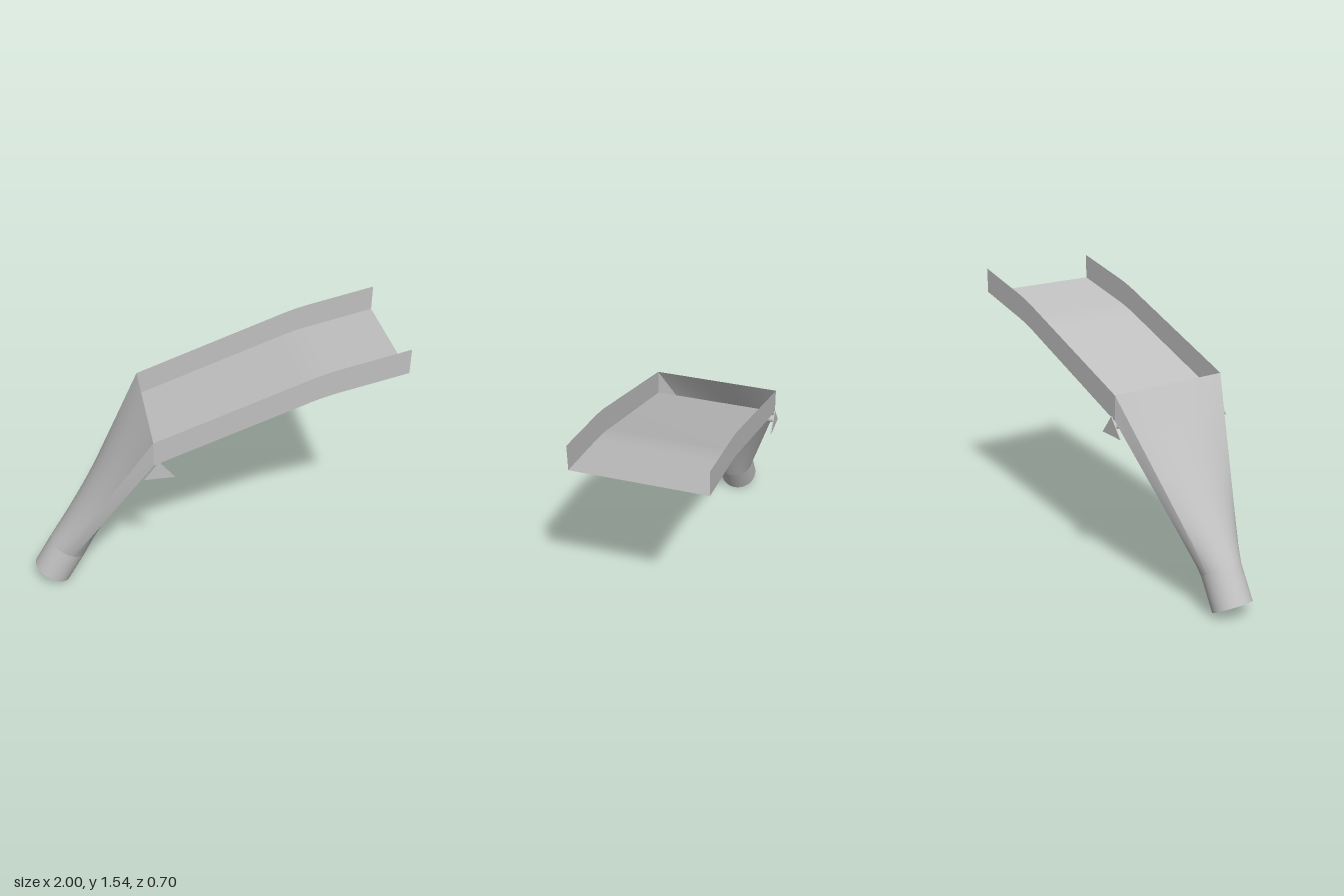
import * as THREE from 'three';
import { toCreasedNormals } from 'three/addons/utils/BufferGeometryUtils.js';

const HALF = 0.343;      // half width of the chute
const WALL = 0.14;       // height of the side walls
const MOUTH_X = -0.335;  // where the chute meets the funnel
const MOUTH_Y = 0.977;
const R = 0.11;          // spout radius
const TILT = Math.PI / 6;

// Sheet through a list of rows, each row holding the same number of points
function sheet(rows, crease = 0.5) {
  const n = rows[0].length;
  const index = [];
  for (let r = 0; r < rows.length - 1; r++) {
    for (let i = 0; i < n - 1; i++) {
      const a = r * n + i, b = a + 1, c = a + n, d = c + 1;
      index.push(a, b, d, a, d, c);
    }
  }
  const g = new THREE.BufferGeometry().setFromPoints(rows.flat());
  g.setIndex(index);
  return toCreasedNormals(g, crease);
}

export function createModel() {
  const model = new THREE.Group();
  model.name = 'chute';
  const metal = new THREE.MeshStandardMaterial({ color: 0xc0c0c0, side: THREE.DoubleSide });
  metal.name = 'grey metal';

  const add = (name, geometry) => {
    const mesh = new THREE.Mesh(geometry, metal);
    mesh.name = name;
    model.add(mesh);
    return mesh;
  };
  const V = (x, y, z) => new THREE.Vector3(x, y, z);

  // Floor profile: straight ramp, soft bend, shallower run
  const bend = new THREE.QuadraticBezierCurve3(V(0.46, 1.265, 0), V(0.55, 1.3, 0), V(0.66, 1.323, 0));
  const profile = [V(MOUTH_X, MOUTH_Y, 0), ...bend.getPoints(10), V(1, 1.396, 0)];
  const edge = (z, dy = 0) => profile.map((p) => V(p.x, p.y + dy, z));

  add('chuteFloor', sheet([edge(HALF), edge(-HALF)]));
  add('leftWall', sheet([edge(HALF), edge(HALF, WALL)]));
  add('rightWall', sheet([edge(-HALF, WALL), edge(-HALF)]));

  // Spout: open tilted tube
  const axis = V(Math.sin(TILT), Math.cos(TILT), 0);
  const up = V(-Math.cos(TILT), Math.sin(TILT), 0);
  const base = V(-0.905, 0.055, 0);
  const neck = base.clone().addScaledVector(axis, 0.2);
  const spout = add('spout', new THREE.CylinderGeometry(R, R, 0.2, 64, 1, true));
  spout.position.copy(base).addScaledVector(axis, 0.1);
  spout.rotation.z = -TILT;

  // Funnel: each side of the rectangular mouth blends into an arc of the round neck
  const corner = THREE.MathUtils.degToRad(74.4);
  const top = MOUTH_Y + WALL;
  const sides = [
    { from: [top, -HALF], to: [top, HALF], a0: -corner, a1: corner, n: 32 },
    { from: [top, HALF], to: [MOUTH_Y, HALF], a0: corner, a1: Math.PI - corner, n: 6 },
    { from: [MOUTH_Y, HALF], to: [MOUTH_Y, -HALF], a0: Math.PI - corner, a1: Math.PI + corner, n: 32 },
    { from: [MOUTH_Y, -HALF], to: [top, -HALF], a0: Math.PI + corner, a1: 2 * Math.PI - corner, n: 6 },
  ];
  const round = [], mouth = [];
  sides.forEach((s, k) => {
    for (let i = k ? 1 : 0; i <= s.n; i++) {
      const t = i / s.n;
      const a = THREE.MathUtils.lerp(s.a0, s.a1, t);
      const p = neck.clone().addScaledVector(up, R * Math.cos(a));
      p.z += R * Math.sin(a);
      round.push(p);
      mouth.push(V(MOUTH_X,
        THREE.MathUtils.lerp(s.from[0], s.to[0], t),
        THREE.MathUtils.lerp(s.from[1], s.to[1], t)));
    }
  });
  const rows = [];
  for (let r = 0; r <= 10; r++) rows.push(round.map((p, i) => p.clone().lerp(mouth[i], r / 10)));
  add('funnel', sheet(rows));

  // Pivot rod under the mouth
  const rod = add('pivotRod', new THREE.CylinderGeometry(0.02, 0.02, 2 * HALF, 24));
  rod.rotation.x = Math.PI / 2;
  rod.position.set(-0.31, 0.945, 0);

  // Triangular end brackets
  const triangle = new THREE.Shape([
    new THREE.Vector2(-0.39, 0.893), new THREE.Vector2(-0.228, 0.893), new THREE.Vector2(-0.309, 0.998),
  ]);
  for (const [name, z] of [['leftBracket', 0.344], ['rightBracket', -0.35]]) {
    add(name, new THREE.ExtrudeGeometry(triangle, { depth: 0.006, bevelEnabled: false })).position.z = z;
  }

  return model;
}
